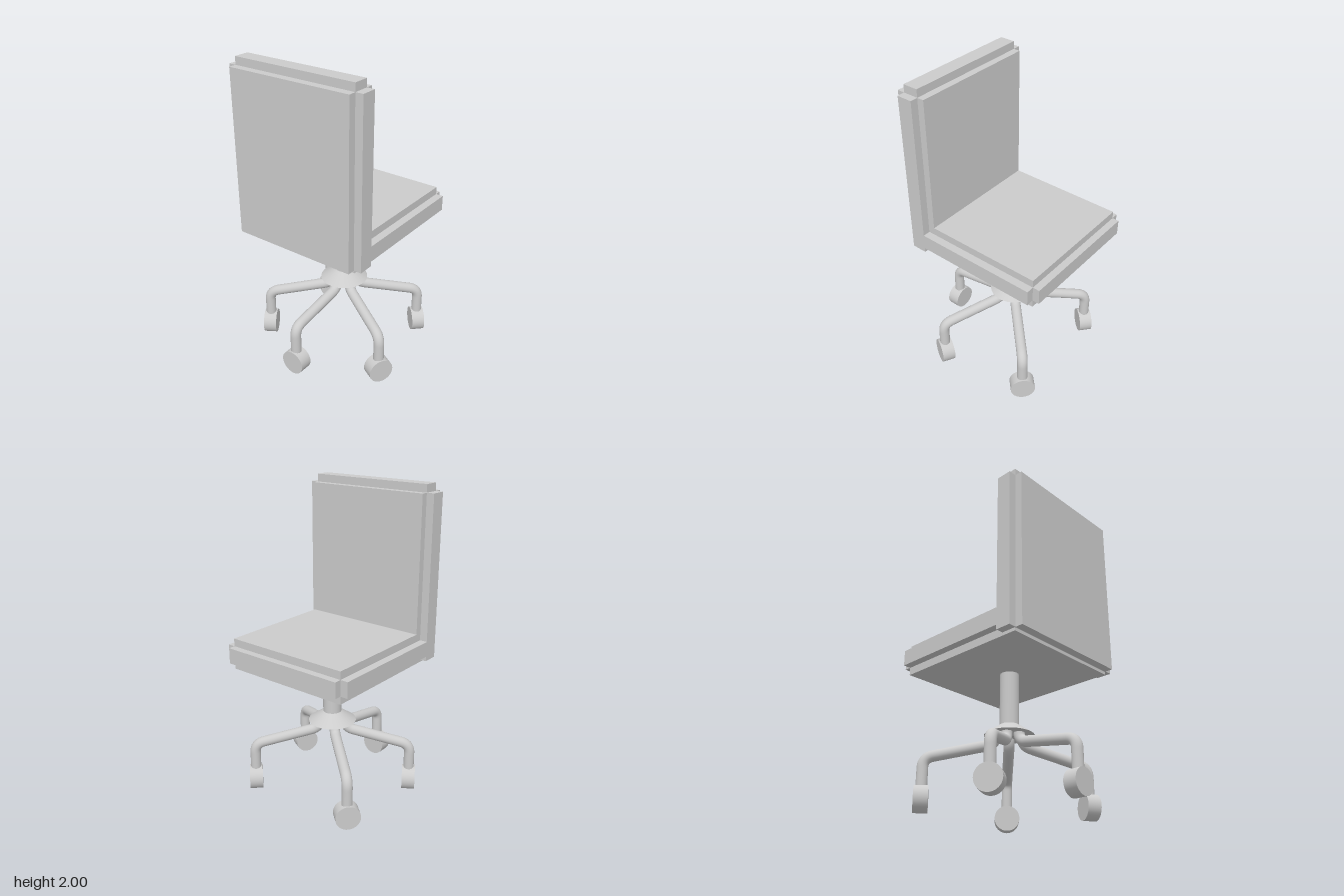
import * as THREE from 'three';

const grey = new THREE.MeshStandardMaterial({ color: 0xcccccc });
const HUB = { x: 0.025, z: -0.005 };

function add(parent, name, geometry) {
  const mesh = new THREE.Mesh(geometry, grey);
  mesh.name = name;
  parent.add(mesh);
  return mesh;
}

// Box given by its ranges on each axis
function slab(parent, name, [x0, x1], [y0, y1], [z0, z1]) {
  const mesh = add(parent, name, new THREE.BoxGeometry(x1 - x0, y1 - y0, z1 - z0));
  mesh.position.set((x0 + x1) / 2, (y0 + y1) / 2, (z0 + z1) / 2);
}

// Path through corner points, each inner corner rounded off
function roundedPath(points, radius) {
  const path = new THREE.CurvePath();
  let from = points[0];
  for (let i = 1; i < points.length - 1; i++) {
    const corner = points[i];
    const toward = (p) => corner.clone().add(p.clone().sub(corner).setLength(radius));
    const a = toward(points[i - 1]);
    const b = toward(points[i + 1]);
    path.add(new THREE.LineCurve3(from, a));
    path.add(new THREE.QuadraticBezierCurve3(a, corner, b));
    from = b;
  }
  path.add(new THREE.LineCurve3(from, points[points.length - 1]));
  return path;
}

// Bent tube leg reaching out along local +x, ending in a drum caster
function makeLeg(degrees, lift) {
  const leg = new THREE.Group();
  leg.name = 'leg';
  const reach = 0.512;
  const points = [[0.08, 0.5], [0.08, 0.425], [reach, 0.325 + lift], [reach, 0.13]]
    .map(([x, y]) => new THREE.Vector3(x, y, 0));
  add(leg, 'legTube', new THREE.TubeGeometry(roundedPath(points, 0.06), 64, 0.034, 20));
  const caster = add(leg, 'caster', new THREE.CylinderGeometry(0.08, 0.08, 0.085, 32));
  caster.rotation.z = Math.PI / 2;
  caster.position.set(reach, 0.081 + lift * 0.8, 0);
  leg.position.set(HUB.x, 0, HUB.z);
  leg.rotation.y = -THREE.MathUtils.degToRad(degrees);
  return leg;
}

export function createModel() {
  const chair = new THREE.Group();
  chair.name = 'swivelChair';

  const innerZ = [-0.435, 0.4];
  const outerZ = [-0.485, 0.45];

  // Seat: thick cushion with a thinner raised band on its edges
  const seat = new THREE.Group();
  seat.name = 'seat';
  slab(seat, 'seatCushion', [-0.42, 0.485], [0.88, 1.08], innerZ);
  slab(seat, 'seatFrontBand', [0.4, 0.53], [0.93, 1.03], innerZ);
  slab(seat, 'seatSideBands', [-0.325, 0.485], [0.93, 1.03], outerZ);

  // Backrest: same construction, upright
  const back = new THREE.Group();
  back.name = 'backrest';
  slab(back, 'backCushion', [-0.475, -0.28], [0.9, 1.95], innerZ);
  slab(back, 'backTopBand', [-0.425, -0.325], [1.9, 2], innerZ);
  slab(back, 'backSideBands', [-0.425, -0.325], [0.9, 1.95], outerZ);

  // Column with its flared skirt
  const column = add(chair, 'column', new THREE.CylinderGeometry(0.06, 0.06, 0.36, 32));
  column.position.set(HUB.x, 0.71, HUB.z);
  const skirt = add(chair, 'columnSkirt', new THREE.CylinderGeometry(0.06, 0.155, 0.065, 32));
  skirt.position.set(HUB.x, 0.5125, HUB.z);

  // Five legs; the rear one sits slightly higher
  const base = new THREE.Group();
  base.name = 'base';
  for (const [degrees, lift] of [[180, 0.025], [118, 0], [45, 0], [-49, 0], [-122, 0]]) {
    base.add(makeLeg(degrees, lift));
  }

  chair.add(seat, back, base);
  return chair;
}
